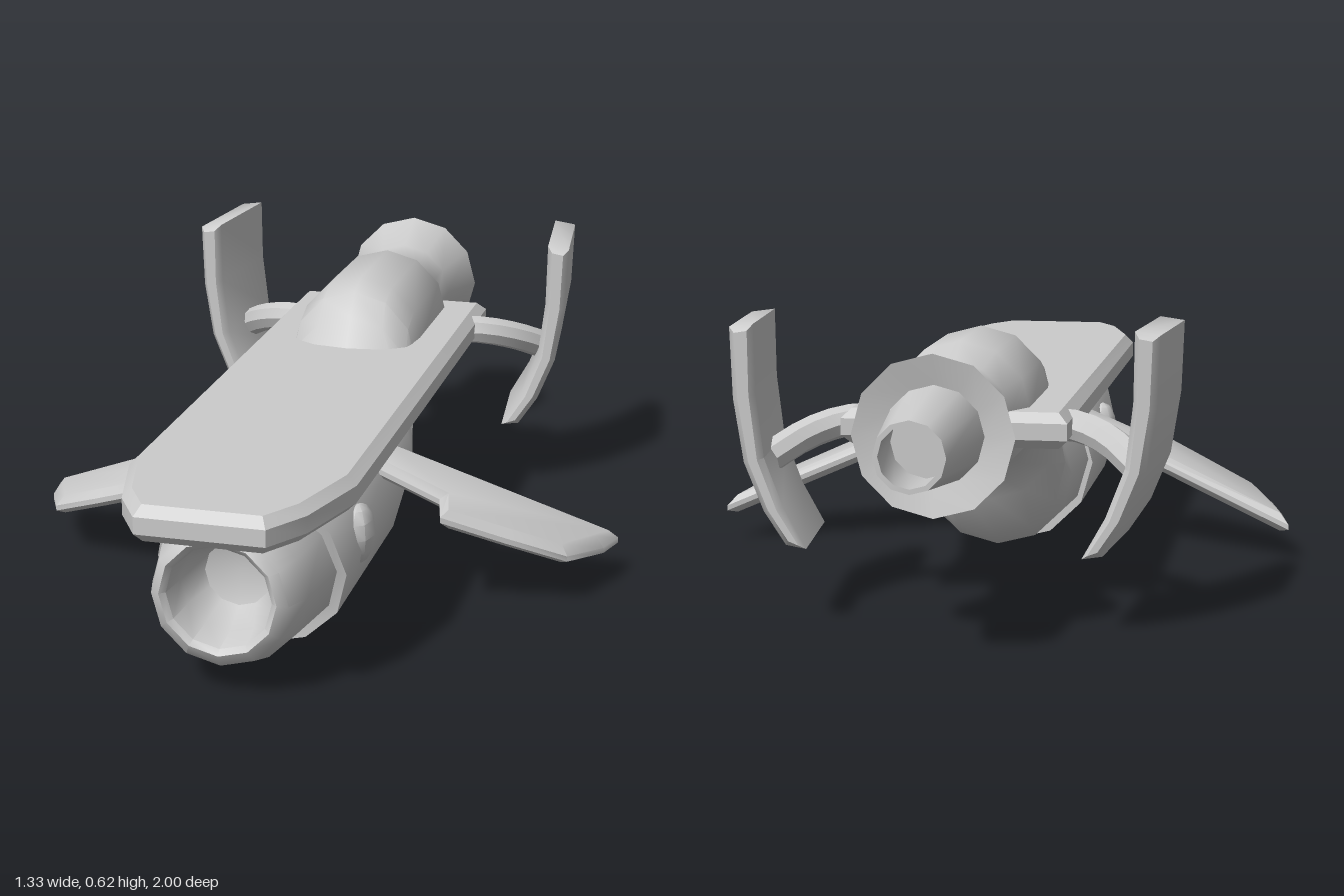
import * as THREE from 'three';
import { toCreasedNormals } from 'three/addons/utils/BufferGeometryUtils.js';

const material = new THREE.MeshStandardMaterial({ color: 0xcccccc });
const CREASE = 0.75;

// Skin over elliptical rings, each [zTop, yTop, zBottom, yBottom, halfWidth], running towards -z.
function loft(rings, sides = 12) {
  const pos = [], idx = [];
  for (const [zt, yt, zb, yb, w] of rings) {
    for (let j = 0; j < sides; j++) {
      const t = (j / sides) * Math.PI * 2, c = Math.cos(t);
      pos.push(w * Math.sin(t), (yt + yb) / 2 + ((yt - yb) / 2) * c, (zt + zb) / 2 + ((zt - zb) / 2) * c);
    }
  }
  for (let i = 0; i < rings.length - 1; i++) {
    for (let j = 0; j < sides; j++) {
      const k = (j + 1) % sides;
      const a = i * sides + j, b = i * sides + k, c = a + sides, d = b + sides;
      idx.push(a, b, c, b, d, c);
    }
  }
  const g = new THREE.BufferGeometry();
  g.setAttribute('position', new THREE.Float32BufferAttribute(pos, 3));
  g.setIndex(idx);
  return toCreasedNormals(g, CREASE);
}

// Upright circular ring for the loft.
const circle = (z, y, r) => [z, y + r, z, y - r, r];

// Bevelled plate whose outline stays on the given points.
function plate(points, depth, bevelSize, bevelThickness) {
  const shape = new THREE.Shape(points.map(([x, y]) => new THREE.Vector2(x, y)));
  return new THREE.ExtrudeGeometry(shape, {
    depth, bevelSize, bevelThickness, bevelOffset: -bevelSize, bevelSegments: 1,
  });
}

// Move every vertex by a rule.
function deform(g, rule) {
  const p = g.attributes.position, v = new THREE.Vector3();
  for (let i = 0; i < p.count; i++) {
    rule(v.fromBufferAttribute(p, i));
    p.setXYZ(i, v.x, v.y, v.z);
  }
  return g;
}

// Mirrored copy across x = 0 with the faces turned back outwards.
function mirror(geometry) {
  const g = geometry.clone();
  for (const name of ['position', 'normal']) {
    const a = g.attributes[name];
    for (let i = 0; i < a.count; i += 3) {
      const tri = [0, 2, 1].map((k) => [-a.getX(i + k), a.getY(i + k), a.getZ(i + k)]);
      tri.forEach((q, k) => a.setXYZ(i + k, ...q));
    }
  }
  return g;
}

export function createModel() {
  const model = new THREE.Group();
  const add = (name, geometry) => {
    const mesh = new THREE.Mesh(geometry, material);
    mesh.name = name;
    model.add(mesh);
  };
  const addPair = (name, geometry) => {
    const g = toCreasedNormals(geometry, CREASE);
    add('left' + name, g);
    add('right' + name, mirror(g));
  };

  // Long flat deck with a tapered front
  const half = [[0.235, -0.56], [0.235, 0.73], [0.185, 0.91], [0.13, 1]];
  const outline = [...half, ...half.map(([x, z]) => [-x, z]).reverse()];
  const deck = plate(outline, 0.035, 0.02, 0.02).rotateX(Math.PI / 2).translate(0, 0.415, 0);
  add('deck', toCreasedNormals(deck, 0.4));

  // Hull: hollow intake, slanted sleeve, then an S-bend up to the tail
  add('hull', loft([
    circle(0.74, 0.218, 0),
    circle(0.76, 0.218, 0.07),
    circle(0.82, 0.218, 0.1),
    circle(0.89, 0.218, 0.108),
    circle(0.9, 0.218, 0.12),
    [0.885, 0.352, 0.885, 0.072, 0.14],
    [0.82, 0.365, 0.82, 0.05, 0.16],
    [0.73, 0.38, 0.62, 0.03, 0.18],
    [0.73, 0.395, 0.62, 0.005, 0.2],
    [0.16, 0.395, 0.16, 0.008, 0.2],
    [0.16, 0.39, 0.16, 0.03, 0.19],
    [-0.04, 0.385, 0, 0.035, 0.175],
    [-0.075, 0.42, -0.045, 0.065, 0.165],
    [-0.12, 0.5, -0.1, 0.16, 0.155],
    [-0.16, 0.55, -0.14, 0.23, 0.15],
    [-0.22, 0.57, -0.2, 0.268, 0.15],
    circle(-0.48, 0.42, 0.15),
    circle(-0.54, 0.42, 0.115),
    circle(-0.67, 0.42, 0.115),
    circle(-0.775, 0.42, 0.163),
    circle(-0.76, 0.42, 0.1),
  ]));

  // Tail nozzle, open at the back
  add('nozzle', loft([
    circle(-0.74, 0.42, 0.102),
    circle(-1, 0.42, 0.07),
    circle(-1, 0.42, 0.06),
    circle(-0.84, 0.42, 0.07),
    circle(-0.84, 0.42, 0),
  ]));

  // Drooping side wings
  const wing = plate([
    [0.15, 0.175], [0.235, 0.155], [0.665, 0.06], [0.645, 0.15], [0.585, 0.28],
    [0.46, 0.34], [0.33, 0.395], [0.31, 0.31], [0.15, 0.31],
  ], 0.012, 0.02, 0.015).rotateX(Math.PI / 2);
  addPair('Wing', deform(wing, (v) => { v.y += 0.27 - 0.42 * (v.x - 0.235); }));

  // Curved upright tail fins, toed in towards the back
  const fin = plate([
    [0.46, 0.615], [0.455, 0.47], [0.435, 0.34], [0.395, 0.24], [0.35, 0.172],
    [0.308, 0.165], [0.355, 0.25], [0.393, 0.35], [0.408, 0.48], [0.41, 0.622],
  ], 0.26, 0.012, 0.015).translate(0, 0, -0.68);
  addPair('Fin', deform(fin, (v) => { v.x += 0.1 * (v.z + 0.405); }));

  // Bent struts from the deck to the fins
  const strutPath = new THREE.CatmullRomCurve3([
    new THREE.Vector3(0.2, 0.395, -0.44),
    new THREE.Vector3(0.25, 0.392, -0.455),
    new THREE.Vector3(0.32, 0.37, -0.5),
    new THREE.Vector3(0.385, 0.33, -0.57),
  ]);
  addPair('Strut', new THREE.TubeGeometry(strutPath, 6, 0.034, 8));

  // Rounded bumps on the hull sides
  const bump = new THREE.SphereGeometry(1, 8, 6).scale(0.035, 0.065, 0.058).translate(0.183, 0.225, 0.51);
  addPair('Bump', bump);

  return model;
}
